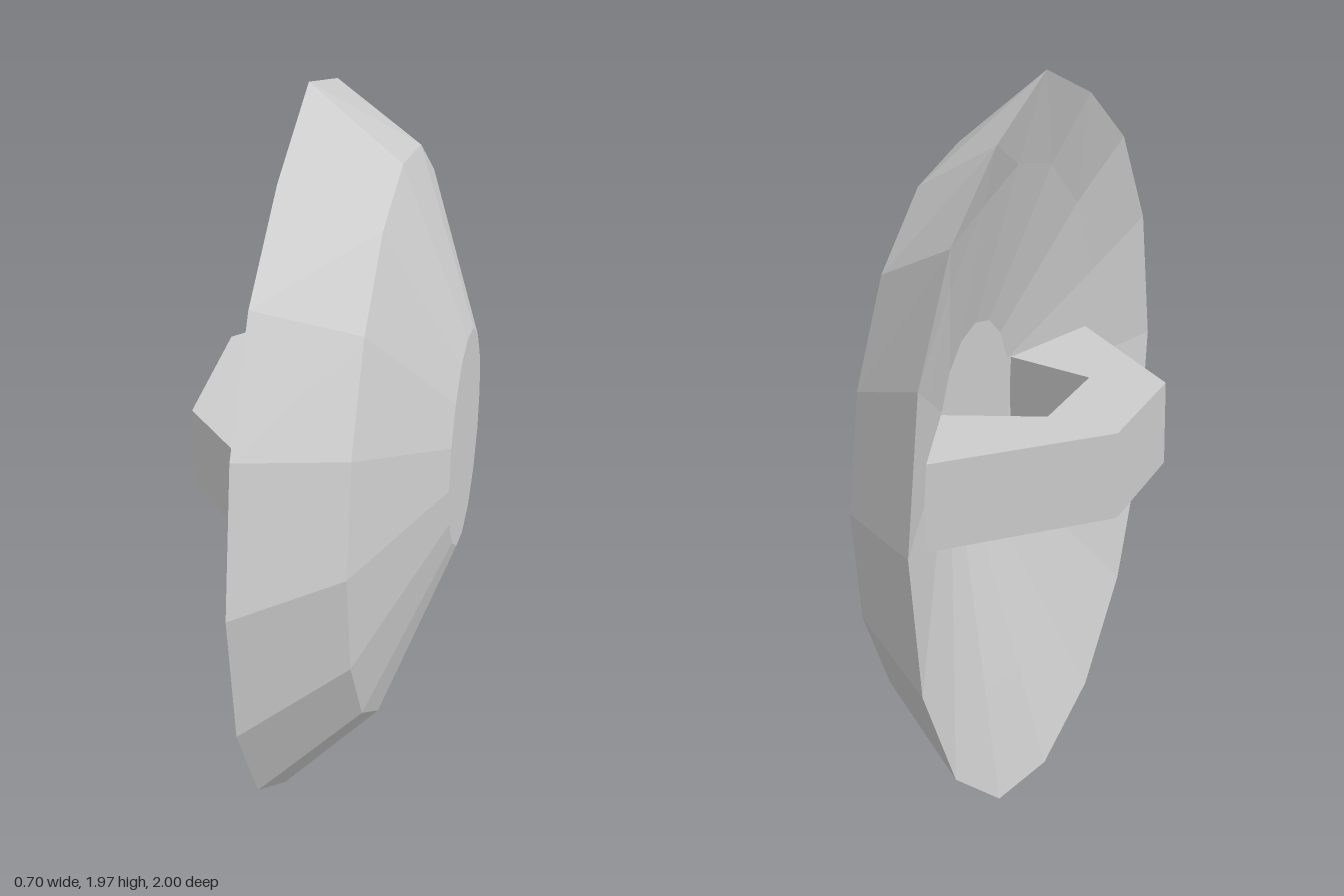
import * as THREE from 'three';

const grey = () => new THREE.MeshStandardMaterial({ color: 0xcccccc, flatShading: true });

// Faceted dish turned about the x axis, bulging toward +x, with a shallower hollow behind
function makeShell() {
  const profile = [
    [0, 0.13], [0.28, 0.13], [0.72, 0.007], // hollow back
    [1, -0.07], // rim
    [0.77, 0.173], [0.295, 0.352], [0, 0.352], // front
  ].map(([r, x]) => new THREE.Vector2(r, x));
  const geometry = new THREE.LatheGeometry(profile, 16);
  geometry.rotateZ(-Math.PI / 2);

  // The top of the rim is slightly flattened: drop per step away from the top
  const drops = [0.027, 0.074, 0.04];
  const pos = geometry.attributes.position;
  for (let i = 0; i < pos.count; i++) {
    const y = pos.getY(i), z = pos.getZ(i);
    if (Math.hypot(y, z) < 0.95) continue;
    const step = Math.round(Math.abs(Math.atan2(z, y)) / (Math.PI / 8));
    pos.setY(i, y - (drops[step] ?? 0));
  }
  geometry.translate(0, 1, 0);
  geometry.computeVertexNormals();
  const mesh = new THREE.Mesh(geometry, grey());
  mesh.name = 'shieldShell';
  return mesh;
}

// Bracket-shaped grip: outline in x and z, extruded vertically, its ends sunk into the dish
function makeHandle() {
  const outline = [
    [-0.353, -0.27], [0.06, -0.69], [0.16, -0.29], [-0.142, -0.2],
    [-0.142, 0.16], [0.16, 0.29], [0.06, 0.69], [-0.353, 0.183],
  ].map(([x, z]) => new THREE.Vector2(x, z));
  const geometry = new THREE.ExtrudeGeometry(new THREE.Shape(outline), {
    depth: 0.23, bevelEnabled: false,
  });
  geometry.rotateX(Math.PI / 2);
  geometry.translate(0, 1.106, 0);
  const mesh = new THREE.Mesh(geometry, grey());
  mesh.name = 'handle';
  return mesh;
}

export function createModel() {
  const model = new THREE.Group();
  model.name = 'shield';
  model.add(makeShell(), makeHandle());
  return model;
}
